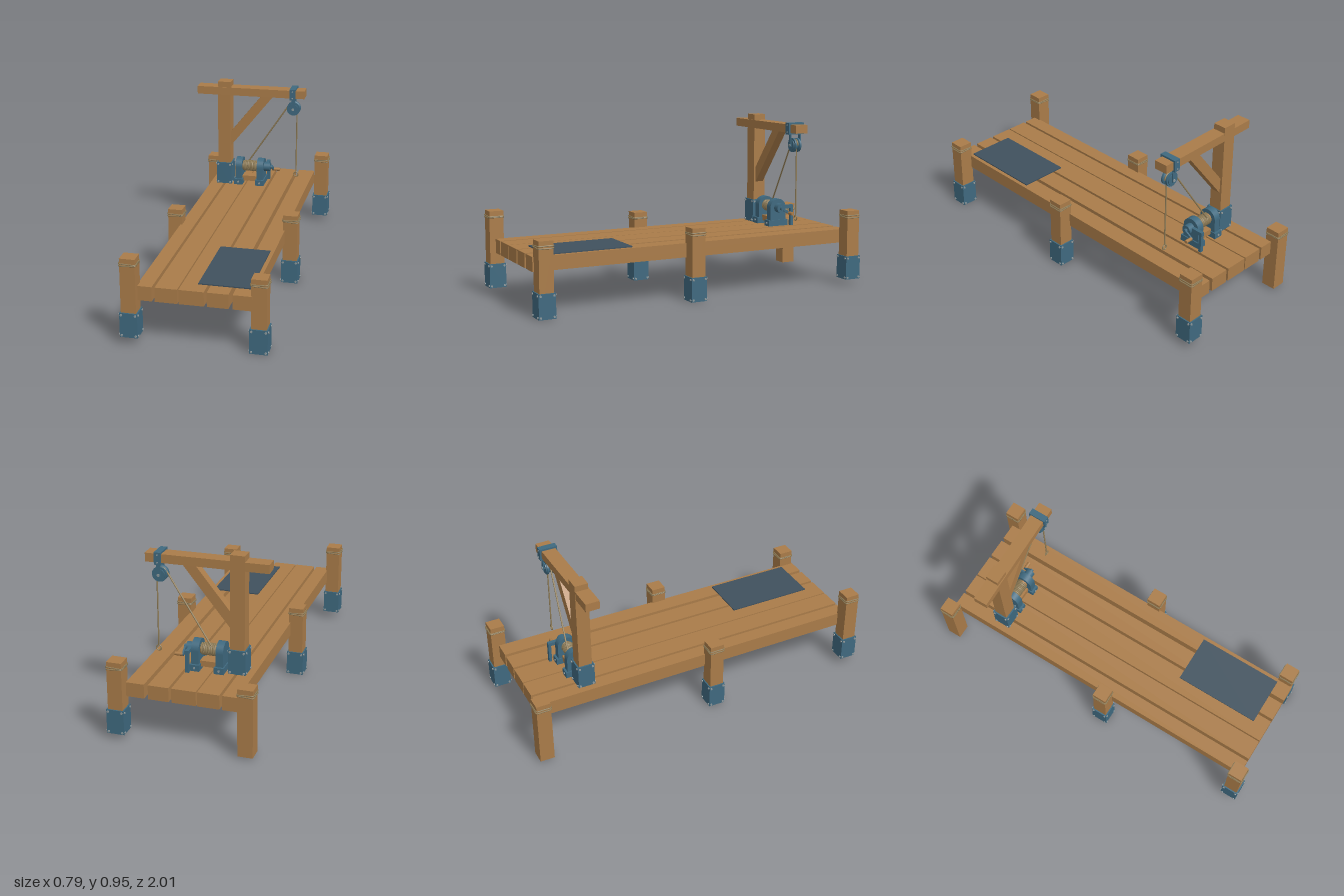
import * as THREE from 'three';

const mat = (name, color, side = THREE.FrontSide) => {
  const m = new THREE.MeshStandardMaterial({ color, side });
  m.name = name;
  return m;
};

export function createModel() {
  const wood = mat('wood', 0xaa7c49);
  const steel = mat('blue steel', 0x3f697f);
  const slate = mat('slate mat', 0x40515e);
  const rope = mat('rope', 0x927f59);
  const bolt = mat('bolt grey', 0x8d989b);
  const root = new THREE.Group();

  // Helpers
  const add = (name, geo, material, x = 0, y = 0, z = 0, parent = root) => {
    const m = new THREE.Mesh(geo, material);
    m.name = name;
    m.position.set(x, y, z);
    parent.add(m);
    return m;
  };
  // Box given by its limits on each axis
  const span = (name, material, x0, x1, y0, y1, z0, z1, parent = root) =>
    add(name, new THREE.BoxGeometry(x1 - x0, y1 - y0, z1 - z0), material,
      (x0 + x1) / 2, (y0 + y1) / 2, (z0 + z1) / 2, parent);
  const rod = (axis, r, len, sides = 24) => {
    const g = new THREE.CylinderGeometry(r, r, len, sides);
    if (axis === 'x') g.rotateZ(Math.PI / 2);
    if (axis === 'z') g.rotateX(Math.PI / 2);
    return g;
  };
  const line = (name, a, b, r) => add(name,
    new THREE.TubeGeometry(new THREE.LineCurve3(new THREE.Vector3(...a), new THREE.Vector3(...b)), 1, r, 8), rope);
  const group = (name) => {
    const g = new THREE.Group();
    g.name = name;
    root.add(g);
    return g;
  };

  // Square steel sleeve, open at both ends, with four bolts on each face
  const sleeveH = 0.134;
  const sq = (h) => [[-h, -h], [h, -h], [h, h], [-h, h]].map(([x, y]) => new THREE.Vector2(x, y));
  const sleeveShape = new THREE.Shape(sq(0.047));
  sleeveShape.holes.push(new THREE.Path(sq(0.039)));
  const sleeveGeo = new THREE.ExtrudeGeometry(sleeveShape, { depth: sleeveH, bevelEnabled: false });
  sleeveGeo.rotateX(-Math.PI / 2);
  const boltGeo = rod('z', 0.006, 0.01, 10);
  const sleeve = (x, y, z, parent) => {
    add('postSleeve', sleeveGeo, steel, x, y, z, parent);
    for (let f = 0; f < 4; f++) {
      const face = new THREE.Group();
      face.name = 'sleeveBolts';
      face.position.set(x, y + sleeveH / 2, z);
      face.rotation.y = f * Math.PI / 2;
      for (const sx of [-1, 1]) for (const sy of [-1, 1])
        add('bolt', boltGeo, bolt, sx * 0.037, sy * 0.056, 0.047, face);
      parent.add(face);
    }
  };

  // Rope loop around a square post
  const loopPts = [];
  for (let i = 0; i < 4; i++) {
    for (const t of [-0.037, 0, 0.037]) {
      const p = new THREE.Vector3(t, 0, 0.0425);
      loopPts.push(p.applyAxisAngle(new THREE.Vector3(0, 1, 0), i * Math.PI / 2));
    }
  }
  const loopGeo = new THREE.TubeGeometry(new THREE.CatmullRomCurve3(loopPts, true), 48, 0.0035, 6, true);

  // Deck planks
  for (const [a, b] of [[-0.298, -0.218], [-0.203, -0.087], [-0.08, 0.05], [0.065, 0.175], [0.196, 0.293]])
    span('deckPlank', wood, a, b, 0.235, 0.313, -0.955, 0.955);
  span('deckMat', slate, 0, 0.272, 0.313, 0.319, 0.385, 0.87);

  // Mooring posts: x, z, bottom, top, has sleeve
  const posts = [
    [-0.332, 0.948, 0.04, 0.468, true], [0.327, 0.907, 0, 0.404, true],
    [-0.328, 0.075, 0, 0.4, true], [0.323, 0.035, 0, 0.402, true],
    [-0.348, -0.953, 0.01, 0.38, false], [0.34, -0.953, 0.034, 0.43, true],
  ];
  posts.forEach(([x, z, y0, y1, sleeved], i) => {
    const g = group('mooringPost');
    span('post', wood, x - 0.04, x + 0.04, y0 + 0.001, y1, z - 0.04, z + 0.04, g);
    if (sleeved) sleeve(x, y0, z, g);
    for (let k = 0; k < 2; k++) {
      const loop = add('postRope', loopGeo, rope, x, y1 - 0.028 - k * 0.009, z, g);
      loop.rotation.z = (k ? -0.05 : 0.04) * (i % 2 ? 1 : -1);
    }
  });

  // Crane frame
  const cz = -0.657;
  const crane = group('crane');
  span('cranePost', wood, -0.253, -0.175, 0.3, 0.955, cz - 0.037, cz + 0.037, crane);
  sleeve(-0.214, 0.312, cz, crane);
  const beam = span('craneBeam', wood, -0.378, 0.273, 0.875, 0.922, cz - 0.039, cz + 0.039, crane);
  beam.rotation.y = 0.02;
  const brace = new THREE.Shape([[-0.178, 0.55], [0.083, 0.877], [0.012, 0.877], [-0.178, 0.64]]
    .map(([x, y]) => new THREE.Vector2(x, y)));
  add('craneBrace', new THREE.ExtrudeGeometry(brace, { depth: 0.05, bevelEnabled: false }), wood, 0, 0, cz - 0.025, crane);

  // Beam clamp, hanger and pulley
  const px = 0.205, py = 0.805, pz = -0.662;
  const pulley = group('pulley');
  span('clampTop', steel, 0.185, 0.221, 0.922, 0.932, pz - 0.049, pz + 0.049, pulley);
  span('clampBottom', steel, 0.185, 0.221, 0.866, 0.875, pz - 0.049, pz + 0.049, pulley);
  for (const s of [-1, 1]) {
    add('clampSide', new THREE.BoxGeometry(0.036, 0.066, 0.01), steel, 0.203, 0.899, pz + s * 0.045, pulley);
    for (const dy of [-0.02, 0.02])
      add('bolt', rod('z', 0.004, 0.006, 10), bolt, 0.203, 0.899 + dy, pz + s * 0.051, pulley);
    add('hangerPlate', new THREE.BoxGeometry(0.02, 0.075, 0.006), steel, px, 0.832, pz + s * 0.031, pulley);
  }
  const wheelProfile = [[0, -0.026], [0.03, -0.026], [0.03, -0.02], [0.04, -0.02], [0.04, -0.01], [0.03, -0.004],
    [0.03, 0.004], [0.04, 0.01], [0.04, 0.02], [0.03, 0.02], [0.03, 0.026], [0, 0.026]]
    .map(([r, y]) => new THREE.Vector2(r, y));
  // Doubled corners keep the wheel edges crisp
  for (let i = 0; i < wheelProfile.length - 1; i++) {
    const g = new THREE.LatheGeometry([wheelProfile[i], wheelProfile[i + 1]], 32);
    g.rotateX(Math.PI / 2);
    add('pulleyWheel', g, steel, px, py, pz, pulley);
  }
  add('pulleyAxle', rod('z', 0.008, 0.074, 12), bolt, px, py, pz, pulley);

  // Winch
  const wy = 0.42, wz = -0.667;
  const winch = group('winch');
  const cheek = new THREE.Shape();
  cheek.moveTo(-0.052, 0.313);
  cheek.lineTo(0.052, 0.313);
  cheek.lineTo(0.052, wy);
  cheek.absarc(0, wy, 0.052, 0, Math.PI, false);
  cheek.lineTo(-0.052, 0.313);
  const cheekGeo = new THREE.ExtrudeGeometry(cheek, { depth: 0.04, bevelEnabled: false, curveSegments: 20 });
  cheekGeo.rotateY(Math.PI / 2);
  for (const [x0, fx] of [[-0.145, -0.125], [-0.013, 0.007]]) {
    add('winchCheek', cheekGeo, steel, x0, 0, wz, winch);
    span('winchFoot', steel, fx - 0.026, fx + 0.026, 0.313, 0.348, wz - 0.064, wz + 0.064, winch);
    for (const s of [-1, 1])
      add('bolt', rod('z', 0.006, 0.006, 10), bolt, fx, 0.331, wz + s * 0.065, winch);
  }
  span('winchCrossbar', wood, -0.105, -0.013, 0.33, 0.362, wz - 0.03, wz + 0.03, winch);
  add('winchDrum', rod('x', 0.028, 0.1), wood, -0.059, wy, wz, winch);
  const coilPts = [];
  for (let i = 0; i <= 144; i++) {
    const a = i / 16 * Math.PI * 2;
    coilPts.push(new THREE.Vector3(-0.1 + 0.082 * i / 144, wy + 0.029 * Math.cos(a), wz + 0.029 * Math.sin(a)));
  }
  add('ropeCoil', new THREE.TubeGeometry(new THREE.CatmullRomCurve3(coilPts), 216, 0.005, 6), rope, 0, 0, 0, winch);
  add('winchHub', rod('x', 0.027, 0.04), steel, 0.045, wy, wz, winch);
  add('winchAxle', rod('x', 0.011, 0.016, 16), steel, 0.072, wy, wz, winch);

  // Crank arm and handle
  const hy = 0.392, hz = -0.712;
  const arm = add('crankArm', new THREE.BoxGeometry(0.009, 0.015, 0.066), steel, 0.074, (wy + hy) / 2, (wz + hz) / 2, winch);
  arm.rotation.x = -Math.atan2(wy - hy, wz - hz);
  add('crankHandle', rod('x', 0.01, 0.042, 12), wood, 0.095, hy, hz, winch);

  // Winch side stay
  span('stayArm', steel, 0.027, 0.047, 0.415, 0.435, -0.758, wz, winch);
  span('stayLeg', steel, 0.027, 0.047, 0.313, 0.435, -0.758, -0.742, winch);

  // Hoisting rope and end ring
  line('hoistRope', [-0.075, 0.443, wz - 0.02], [0.173, 0.79 + 0.03, pz], 0.0045);
  const over = new THREE.TorusGeometry(0.033, 0.004, 8, 20, Math.PI * 0.85);
  add('ropeOverWheel', over, rope, px, py, pz);
  line('dropRope', [0.225, 0.404, pz], [0.225, 0.83, pz], 0.004);
  add('ropeRing', new THREE.TorusGeometry(0.0135, 0.0035, 8, 24), rope, 0.225, 0.388, pz);

  return root;
}
